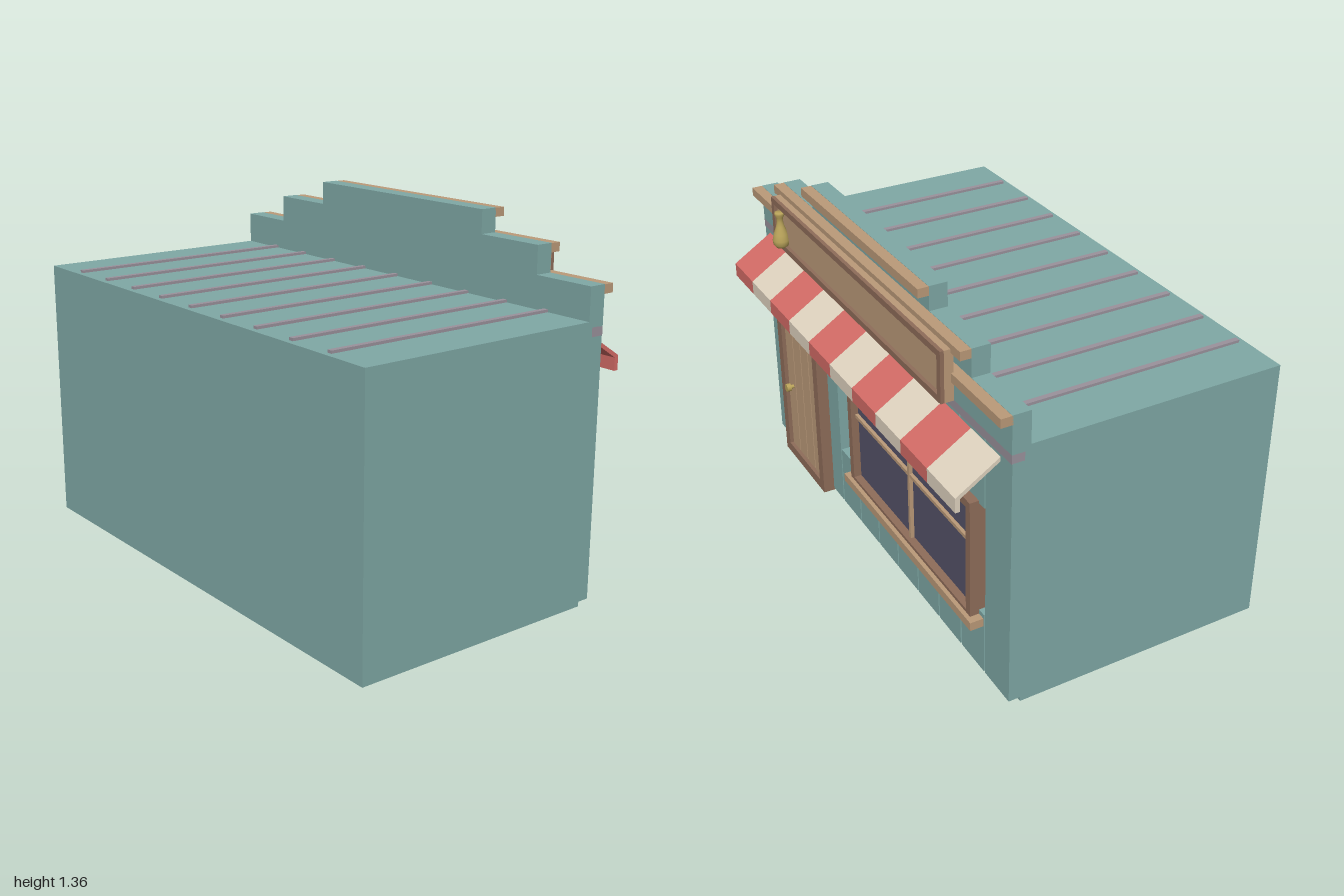
import * as THREE from 'three';

const mat = (name, color, side = THREE.FrontSide) => {
  const m = new THREE.MeshStandardMaterial({ color, side });
  m.name = name;
  return m;
};

export function createModel() {
  const root = new THREE.Group();
  root.name = 'shop';
  const teal = mat('teal paint', 0x7fa8a5);
  const tan = mat('tan wood', 0xbb9a79);
  const brown = mat('brown wood', 0x8f6d5a);
  const mauve = mat('mauve trim', 0x9a929c);
  const red = mat('awning red', 0xd36b66);
  const cream = mat('awning cream', 0xdfd3bf);
  const gold = mat('brass', 0xb9a35a);
  const glass = mat('dark glass', 0x555368);

  const add = (name, geo, m, parent = root) => {
    const mesh = new THREE.Mesh(geo, m);
    mesh.name = name;
    parent.add(mesh);
    return mesh;
  };
  // box given by its lower and upper limits on each axis
  const box = (name, m, x0, x1, y0, y1, z0, z1, parent) => {
    const mesh = add(name, new THREE.BoxGeometry(x1 - x0, y1 - y0, z1 - z0), m, parent);
    mesh.position.set((x0 + x1) / 2, (y0 + y1) / 2, (z0 + z1) / 2);
    return mesh;
  };
  const group = (name) => {
    const g = new THREE.Group();
    g.name = name;
    root.add(g);
    return g;
  };
  // rectangular border extruded along z, with equal rails all round
  const frame = (name, m, x0, x1, y0, y1, z0, z1, t, parent) => {
    const s = new THREE.Shape([[x0, y0], [x1, y0], [x1, y1], [x0, y1]].map(p => new THREE.Vector2(...p)));
    s.holes.push(new THREE.Path([[x0 + t, y0 + t], [x0 + t, y1 - t], [x1 - t, y1 - t], [x1 - t, y0 + t]]
      .map(p => new THREE.Vector2(...p))));
    const geo = new THREE.ExtrudeGeometry(s, { depth: z1 - z0, bevelEnabled: false });
    geo.translate(0, 0, z0);
    return add(name, geo, m, parent);
  };

  // main building and roof ribs
  box('body', teal, -1, 1, 0, 1.043, -0.39, 0.6);
  const ribs = group('roofRibs');
  for (let i = -4; i <= 4; i++) box('roofRib', mauve, i * 0.2 - 0.01, i * 0.2 + 0.01, 1.04, 1.053, -0.37, 0.578, ribs);

  // facade planks, interrupted by the recess around the window
  const planks = group('facadePlanks');
  const gap = 0.004;
  for (let k = -6; k < 6; k++) {
    const x0 = k / 6 + (k === -6 ? 0 : gap), x1 = (k + 1) / 6 - (k === 5 ? 0 : gap);
    if (k >= -5 && k <= 1) {
      box('lowerPlank', teal, x0, x1, 0.018, 0.27, -0.435, -0.39, planks);
      box('upperPlank', teal, x0, x1, 0.715, 0.99, -0.435, -0.39, planks);
    } else box('plank', teal, x0, x1, 0.018, 0.99, -0.435, -0.39, planks);
  }
  box('facadeTrim', mauve, -1, 1, 0.988, 1.022, -0.437, -0.385);

  // stepped parapet with a ledge on each tier
  const tiers = [[1, 1.165], [0.75, 1.27], [0.47, 1.36]];
  const outline = [[-1, 1.02], [1, 1.02]];
  tiers.forEach(([w, y], i) => {
    outline.push([w, y]);
    if (i < 2) outline.push([tiers[i + 1][0], y]);
  });
  const mirrored = outline.slice(2).reverse().map(([x, y]) => [-x, y]);
  const parapetShape = new THREE.Shape([...outline, ...mirrored].map(p => new THREE.Vector2(...p)));
  const parapetGeo = new THREE.ExtrudeGeometry(parapetShape, { depth: 0.068, bevelEnabled: false });
  parapetGeo.translate(0, 0, -0.437);
  add('parapet', parapetGeo, teal);
  const ledges = group('parapetLedges');
  for (const [w, y] of tiers) box('ledge', tan, -w, w, y - 0.034, y - 0.001, -0.478, -0.434, ledges);

  // blank sign board with a raised border and brass vase
  const sign = group('signBoard');
  box('signPanel', tan, -0.69, 0.69, 1.06, 1.25, -0.502, -0.468, sign);
  frame('signBorder', brown, -0.69, 0.69, 1.06, 1.25, -0.516, -0.502, 0.024, sign);
  const vaseProfile = [[0, 0], [0.022, 0], [0.031, 0.012], [0.033, 0.03], [0.027, 0.055], [0.016, 0.085],
    [0.012, 0.105], [0.014, 0.122], [0.02, 0.134], [0.018, 0.142], [0, 0.142]];
  const vase = add('brassVase', new THREE.LatheGeometry(vaseProfile.map(p => new THREE.Vector2(...p)), 20), gold, sign);
  vase.position.set(0.597, 1.08, -0.522);

  // striped awning: sloped cloth and hanging valance
  const awning = group('awning');
  const section = new THREE.Shape([[0.44, 0.982], [0.6, 0.88], [0.6, 0.825], [0.583, 0.825], [0.583, 0.873], [0.44, 0.966]]
    .map(p => new THREE.Vector2(...p)));
  const stripe = 0.1875;
  for (let i = 0; i < 10; i++) {
    const geo = new THREE.ExtrudeGeometry(section, { depth: stripe, bevelEnabled: false });
    geo.rotateY(Math.PI / 2); // section's x turns to -z, depth runs along +x
    geo.translate(-5 * stripe + i * stripe, 0, 0);
    add('awningStripe', geo, i % 2 ? red : cream, awning);
  }

  // plank door
  const door = group('door');
  frame('doorFrame', brown, 0.435, 0.835, 0.008, 0.815, -0.48, -0.43, 0.042, door);
  box('doorBacking', brown, 0.47, 0.8, 0.03, 0.79, -0.45, -0.43, door);
  for (let i = 0; i < 4; i++) {
    const x = 0.477 + i * 0.079;
    box('doorPlank', tan, x + 0.003, x + 0.076, 0.05, 0.773, -0.465, -0.445, door);
  }
  const stem = add('knobStem', new THREE.CylinderGeometry(0.008, 0.008, 0.03, 12), gold, door);
  stem.rotation.x = Math.PI / 2;
  stem.position.set(0.74, 0.36, -0.475);
  const knob = add('doorKnob', new THREE.CylinderGeometry(0.017, 0.017, 0.018, 16), gold, door);
  knob.rotation.x = Math.PI / 2;
  knob.position.set(0.74, 0.36, -0.489);

  // window with sill and glazing bars
  const win = group('window');
  frame('windowFrame', brown, -0.795, 0.165, 0.235, 0.725, -0.47, -0.39, 0.03, win);
  box('windowGlass', glass, -0.77, 0.14, 0.26, 0.7, -0.44, -0.432, win);
  box('verticalBar', tan, -0.322, -0.308, 0.26, 0.7, -0.455, -0.438, win);
  box('horizontalBar', tan, -0.77, 0.14, 0.535, 0.549, -0.453, -0.438, win);
  box('windowSill', tan, -0.825, 0.195, 0.218, 0.252, -0.486, -0.43, win);

  return root;
}
